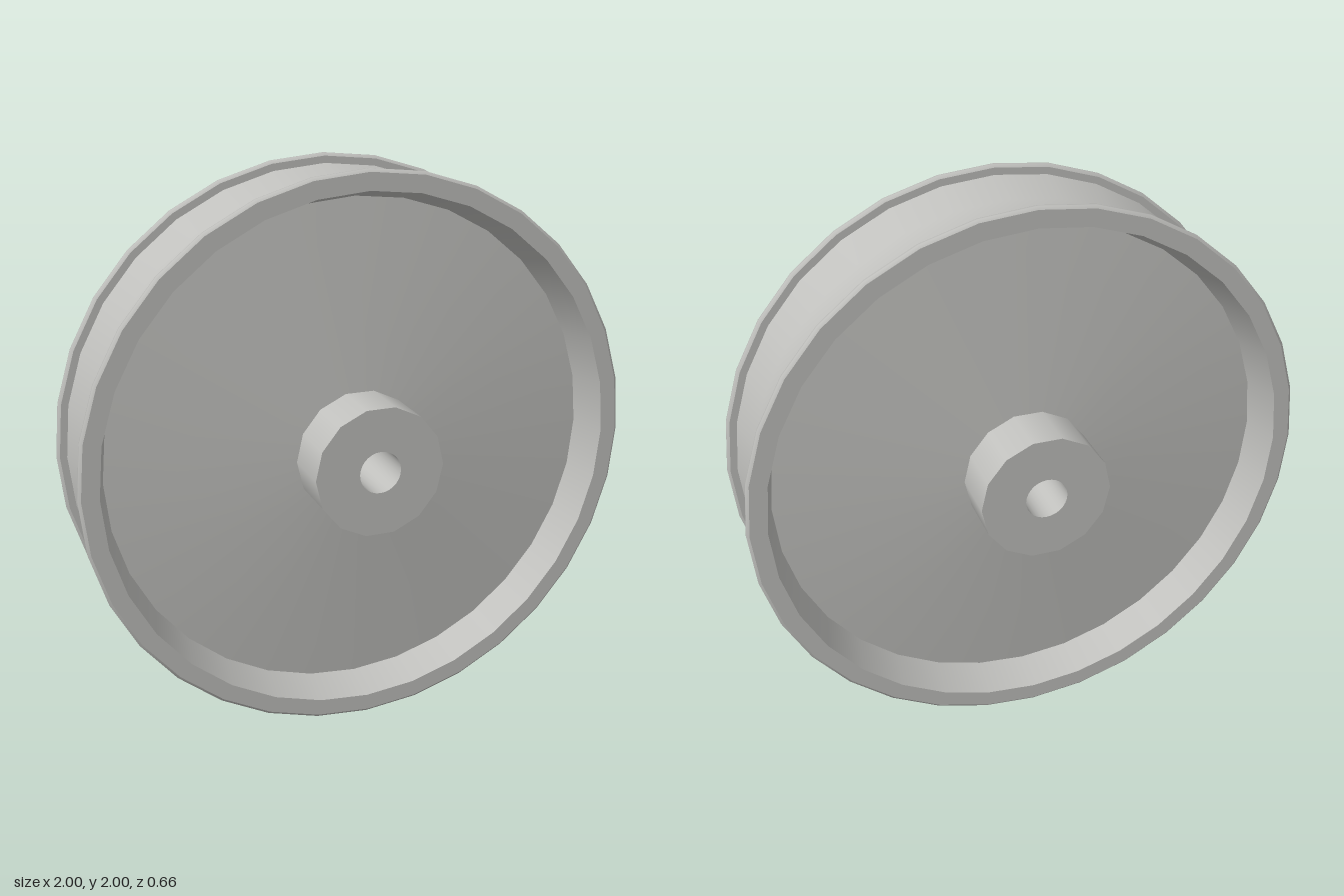
import * as THREE from 'three';

const metal = new THREE.MeshStandardMaterial({ color: 0xc0c0bd });
metal.name = 'lightGreyMetal';

// Surface of revolution about z; points are [radius, z], each call is one smooth run
function turned(name, points, sides) {
  const profile = points.map(([r, z]) => new THREE.Vector2(r, z));
  const geometry = new THREE.LatheGeometry(profile, sides, Math.PI / 2);
  geometry.rotateX(Math.PI / 2);
  const mesh = new THREE.Mesh(geometry, metal);
  mesh.name = name;
  return mesh;
}

// Front half of the flange, web and hub
function wheelSide(name) {
  const side = new THREE.Group();
  side.name = name;
  const rim = 32, hub = 14;
  side.add(
    turned('flangeInnerFace', [[0.965, 0.2], [0.99, 0.2]], rim),
    turned('flangeEdge', [[0.99, 0.2], [1, 0.208], [1, 0.217], [0.99, 0.225]], rim),
    turned('flangeFace', [[0.99, 0.225], [0.93, 0.225]], rim),
    turned('rimInnerWall', [[0.93, 0.225], [0.895, 0.09]], rim),
    turned('webDisc', [[0.895, 0.09], [0.2, 0.14]], rim),
    turned('hubBarrel', [[0.233, 0.12], [0.233, 0.33]], hub),
    turned('hubFace', [[0.233, 0.33], [0.075, 0.33]], 28),
    turned('axleBore', [[0.075, 0.33], [0.075, 0]], 28),
    turned('axleBoreEnd', [[0.075, 0], [0, 0]], 28),
  );
  // Make the outer edge of the hub face follow the barrel's flat sides
  const face = side.getObjectByName('hubFace').geometry;
  const p = face.attributes.position;
  const step = (Math.PI * 2) / hub;
  for (let i = 0; i < p.count; i++) {
    const x = p.getX(i), y = p.getY(i);
    if (Math.hypot(x, y) < 0.1) continue;
    const a = Math.atan2(y, x);
    const off = a - (Math.floor(a / step + 1e-6) + 0.5) * step;
    const k = Math.cos(step / 2) / Math.cos(off);
    p.setXY(i, x * k, y * k);
  }
  return side;
}

export function createModel() {
  const wheel = new THREE.Group();
  wheel.name = 'grooveWheel';

  // Concave running surface between the flanges
  wheel.add(turned('grooveTread', [
    [0.965, -0.2], [0.93, -0.05], [0.93, 0.05], [0.965, 0.2],
  ], 32));

  const front = wheelSide('frontSide');
  const back = wheelSide('backSide');
  back.rotation.y = Math.PI;
  wheel.add(front, back);

  wheel.position.y = 1;
  const model = new THREE.Group();
  model.name = 'wheelModel';
  model.add(wheel);
  return model;
}
